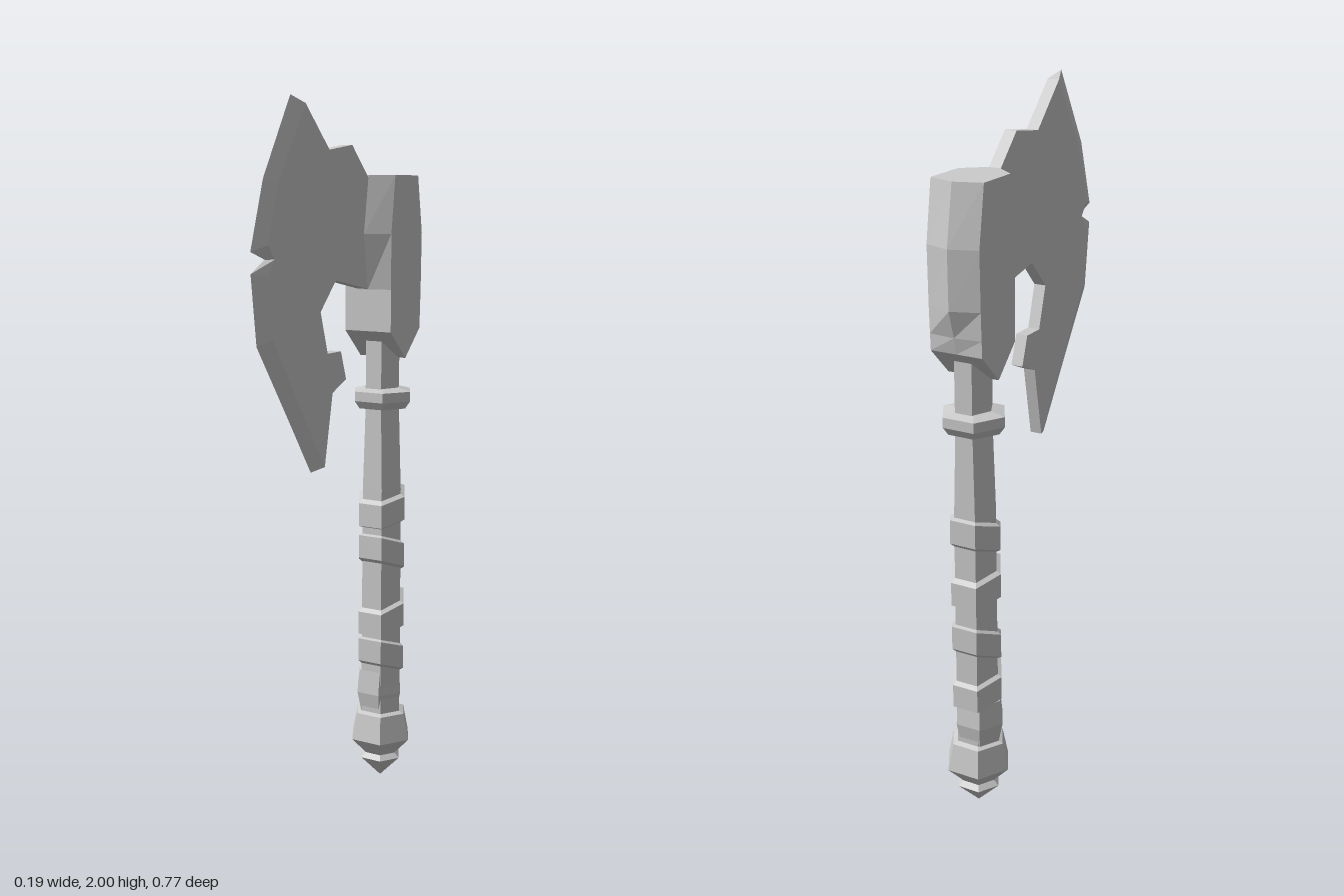
import * as THREE from 'three';

const grey = new THREE.MeshStandardMaterial({ color: 0xcccccc, flatShading: true });
const HANDLE_Z = -0.27;

function add(parent, name, geometry) {
  const mesh = new THREE.Mesh(geometry, grey);
  mesh.name = name;
  parent.add(mesh);
  return mesh;
}

// Geometry from a list of triangles, each corner an [x, y, z]
function fromCorners(corners) {
  const g = new THREE.BufferGeometry();
  g.setAttribute('position', new THREE.Float32BufferAttribute(corners.flat(), 3));
  g.computeVertexNormals();
  return g;
}

// Six-sided turned part from [radius, y] pairs, bottom to top, corners on +-x
function hexTurned(profile) {
  const pts = profile.map(([r, y]) => new THREE.Vector2(r, y));
  return new THREE.LatheGeometry(pts, 6, Math.PI / 2).translate(0, 0, HANDLE_Z);
}

// Head cross-sections, top down: y, back ridge, back corner, front corner, front lip (z)
function headGeometry() {
  const rings = [
    [1.80, -0.36, -0.335, -0.205, -0.157],
    [1.64, -0.387, -0.36, -0.185, -0.133],
    [1.485, -0.385, -0.357, -0.185, -0.155],
    [1.484, -0.385, -0.357, -0.185, -0.185],
    [1.41, -0.362, -0.354, -0.185, -0.185],
    [1.365, -0.352, -0.352, -0.185, -0.185],
    [1.285, -0.27, -0.27, -0.27, -0.27],
  ].map(([y, ridge, back, front, lip]) => [
    [0, y, ridge], [0.075, y, back], [0.075, y, front], [0.017, y, lip],
    [-0.017, y, lip], [-0.075, y, front], [-0.075, y, back],
  ]);
  const tris = [];
  const n = rings[0].length;
  for (let r = 0; r < rings.length - 1; r++) {
    const U = rings[r], L = rings[r + 1];
    for (let i = 0; i < n; i++) {
      const j = (i + 1) % n;
      tris.push(L[j], L[i], U[i], L[j], U[i], U[j]);
    }
  }
  const top = rings[0];
  for (let i = 1; i < n - 1; i++) tris.push(top[0], top[i + 1], top[i]);
  return fromCorners(tris);
}

export function createModel() {
  const model = new THREE.Group();
  model.name = 'axe';

  // Blade: flat plate plus a sharpened strip along its curved edge, points are [z, y]
  const half = 0.017;
  const edge = [[0.205, 2], [0.33, 1.79], [0.388, 1.61], [0.325, 1.588],
    [0.388, 1.555], [0.365, 1.37], [0.22, 1.16], [0.115, 1.005]];
  const inner = [[0.16, 1.98], [0.29, 1.775], [0.335, 1.625], [0.305, 1.588],
    [0.335, 1.545], [0.315, 1.385], [0.185, 1.185], [0.07, 1.015]];
  const rest = [[0.03, 1.215], [-0.04, 1.245], [-0.013, 1.325], [0.055, 1.325],
    [0.09, 1.44], [0.013, 1.52], [-0.155, 1.487], [-0.25, 1.487], [-0.25, 1.78],
    [-0.155, 1.795], [-0.07, 1.88], [0.045, 1.865]];
  const blade = new THREE.Group();
  blade.name = 'blade';
  model.add(blade);
  const shape = new THREE.Shape([...inner, ...rest].map(([z, y]) => new THREE.Vector2(z, y)));
  add(blade, 'bladePlate', new THREE.ExtrudeGeometry(shape, { depth: 2 * half, bevelEnabled: false })
    .translate(0, 0, -half).rotateY(-Math.PI / 2));

  const at = (x, [z, y]) => [x, y, z];
  const strip = [];
  for (const s of [1, -1]) {
    for (let i = 0; i < edge.length - 1; i++) {
      const a = at(s * half, inner[i]), b = at(s * half, inner[i + 1]);
      const c = at(0, edge[i]), d = at(0, edge[i + 1]);
      if (s > 0) strip.push(a, c, d, a, d, b);
      else strip.push(a, d, c, a, b, d);
    }
  }
  const last = edge.length - 1;
  strip.push(at(half, inner[0]), at(-half, inner[0]), at(0, edge[0]));
  strip.push(at(-half, inner[last]), at(half, inner[last]), at(0, edge[last]));
  add(blade, 'cuttingEdge', fromCorners(strip));

  // Head block holding blade and handle
  add(model, 'head', headGeometry());

  // Handle shaft, slightly thinner across x toward the top
  const shaft = hexTurned([[0.064, 0.18], [0.066, 0.35], [0.064, 0.9], [0.06, 1.14], [0.06, 1.4]]);
  const p = shaft.attributes.position;
  for (let i = 0; i < p.count; i++) {
    if (p.getY(i) > 1) p.setX(i, p.getX(i) * 0.86);
  }
  add(model, 'handle', shaft);

  // Collar under the head
  add(model, 'collar', hexTurned([[0.05, 1.135], [0.076, 1.138], [0.092, 1.16], [0.092, 1.188], [0.05, 1.198]]));

  // Grip wraps, tilted alternately by a shear along z: [y, slope]
  const wraps = [[0.845, -0.3], [0.705, 0.36], [0.522, -0.4], [0.39, 0.34]];
  for (const [y, slope] of wraps) {
    const g = hexTurned([[0.058, -0.048], [0.077, -0.036], [0.077, 0.032], [0.058, 0.044]]);
    const q = g.attributes.position;
    for (let i = 0; i < q.count; i++) {
      q.setY(i, q.getY(i) + y + slope * (q.getZ(i) - HANDLE_Z));
    }
    add(model, 'gripWrap', g);
  }
  add(model, 'lowerWrap', hexTurned([[0.058, 0.2], [0.074, 0.275], [0.066, 0.345], [0.05, 0.35]])
    .translate(-0.006, 0, 0));

  // Pommel with a pointed end
  add(model, 'pommel', hexTurned([[0, 0.08], [0.05, 0.08], [0.097, 0.13], [0.08, 0.21], [0.05, 0.222]]));
  add(model, 'pommelTip', hexTurned([[0, 0], [0.065, 0.066], [0.045, 0.085]]));

  return model;
}
